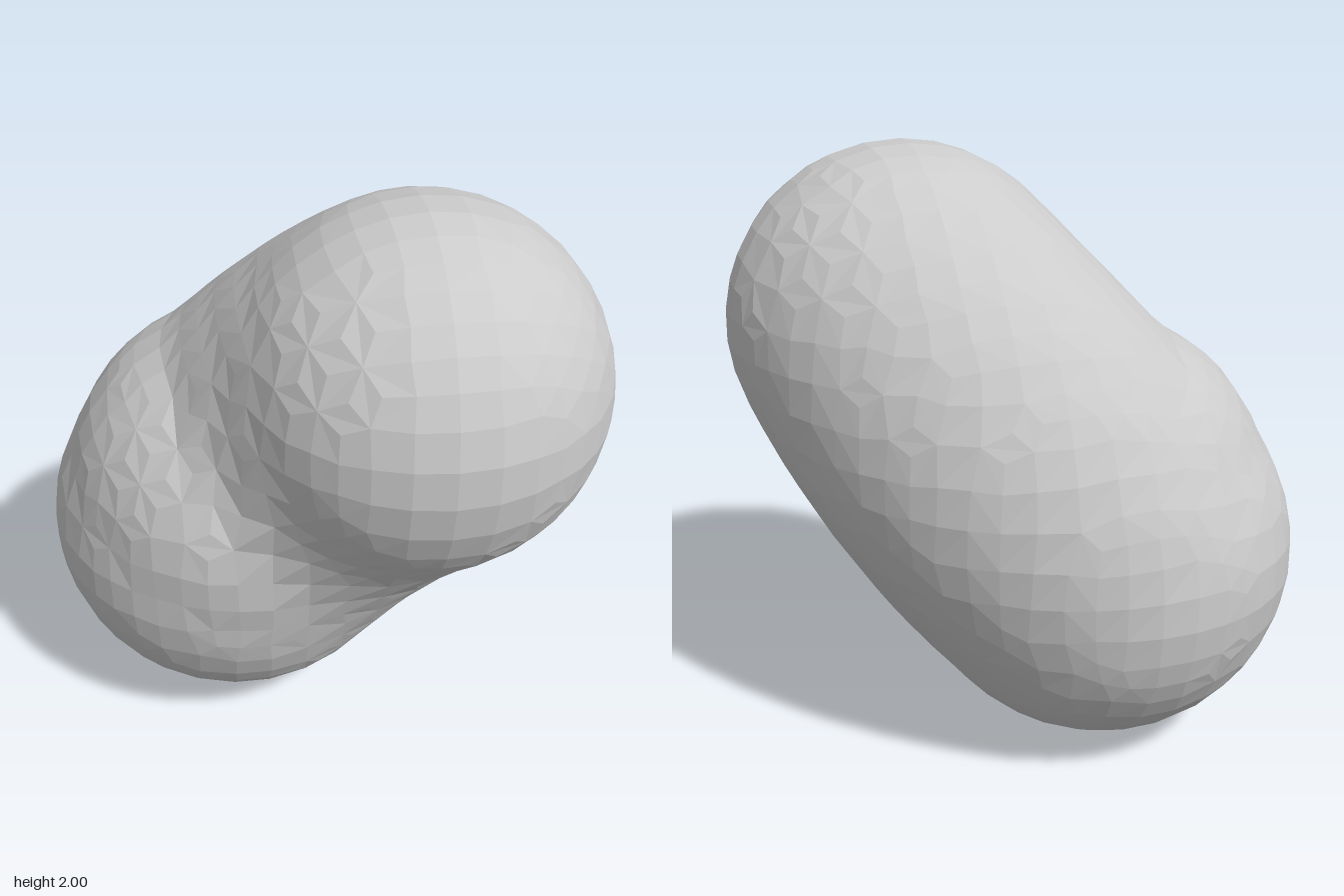
import * as THREE from 'three';

const STEP = 0.124;                                        // lattice size, sets the facet size
const ORIGIN = [-1.128, -0.189, -1.02];
const COUNT = [19, 20, 18];

// Bent spine with a radius that swells towards the lower end
const spine = new THREE.QuadraticBezierCurve3(
  new THREE.Vector3(0.31, 1.4, 0.23),
  new THREE.Vector3(0.115, 1.07, -0.15),
  new THREE.Vector3(-0.257, 0.663, -0.17));
const balls = [];
for (let i = 0; i <= 40; i++) {
  const t = i / 40;
  const radius = 0.607 * (1 - t) ** 2 + 1.32 * t * (1 - t) + 0.664 * t * t;
  balls.push({ center: spine.getPoint(t), radius });
}
// Fuller shoulder on the front of the lower lobe
balls.push({ center: new THREE.Vector3(-0.2, 0.82, -0.125), radius: 0.652 });

// Nearest ball of the swept body and the signed distance to it
function nearest(p) {
  let best = { d: Infinity };
  for (const ball of balls) {
    const d = p.distanceTo(ball.center) - ball.radius;
    if (d < best.d) best = { d, ball };
  }
  return best;
}

// Turn the swept body into a quad skin on a regular lattice
function skin() {
  const point = (c) => new THREE.Vector3(...c.map((v, a) => ORIGIN[a] + v * STEP));
  const key = (c) => (c[0] * 64 + c[1]) * 64 + c[2];
  const shift = (c, a, n) => c.map((v, i) => (i === a ? v + n : v));
  const values = new Map();
  const value = (c) => {
    const k = key(c);
    if (!values.has(k)) values.set(k, nearest(point(c)).d);
    return values.get(k);
  };
  let vertices = [];
  const quads = [], cells = new Map();

  // One vertex per crossed cell: the mean of its edge crossings
  const vertex = (cell) => {
    const k = key(cell);
    if (cells.has(k)) return cells.get(k);
    const sum = new THREE.Vector3();
    let n = 0;
    for (let a = 0; a < 3; a++) {
      for (let m = 0; m < 4; m++) {
        const p = shift(shift(cell, (a + 1) % 3, m & 1), (a + 2) % 3, m >> 1);
        const q = shift(p, a, 1);
        const u = value(p), v = value(q);
        if ((u < 0) === (v < 0)) continue;
        sum.add(point(p).lerp(point(q), u / (u - v)));
        n++;
      }
    }
    cells.set(k, vertices.length);
    vertices.push(sum.divideScalar(n));
    return cells.get(k);
  };

  // One quad per crossed lattice edge
  for (let x = 1; x < COUNT[0]; x++)
    for (let y = 1; y < COUNT[1]; y++)
      for (let z = 1; z < COUNT[2]; z++)
        for (let a = 0; a < 3; a++) {
          const p = [x, y, z], b = (a + 1) % 3, c = (a + 2) % 3;
          const inside = value(p) < 0;
          if (inside === value(shift(p, a, 1)) < 0) continue;
          const q = [p, shift(p, b, -1), shift(shift(p, b, -1), c, -1), shift(p, c, -1)].map(vertex);
          quads.push(inside ? q : q.reverse());
        }

  // Even out the quads, then settle the vertices back on the body
  for (let pass = 0; pass < 5; pass++) {
    const sums = vertices.map((v) => ({ p: v.clone().multiplyScalar(2), n: 2 }));
    for (const q of quads)
      q.forEach((v, i) => {
        for (const w of [q[(i + 1) % 4], q[(i + 3) % 4]]) {
          sums[v].p.add(vertices[w]);
          sums[v].n++;
        }
      });
    vertices = sums.map(({ p, n }) => {
      p.divideScalar(n);
      const { ball } = nearest(p);
      return p.sub(ball.center).setLength(ball.radius).add(ball.center);
    });
  }

  const geometry = new THREE.BufferGeometry().setFromPoints(vertices);
  geometry.setIndex(quads.flatMap(([a, b, c, d]) => [a, b, c, a, c, d]));
  const flat = geometry.toNonIndexed();
  flat.computeVertexNormals();
  return flat;
}

export function createModel() {
  const group = new THREE.Group();
  group.name = 'bean';
  const body = new THREE.Mesh(skin(),
    new THREE.MeshStandardMaterial({ color: 0xcccccc, flatShading: true }));
  body.name = 'beanBody';
  group.add(body);
  return group;
}
